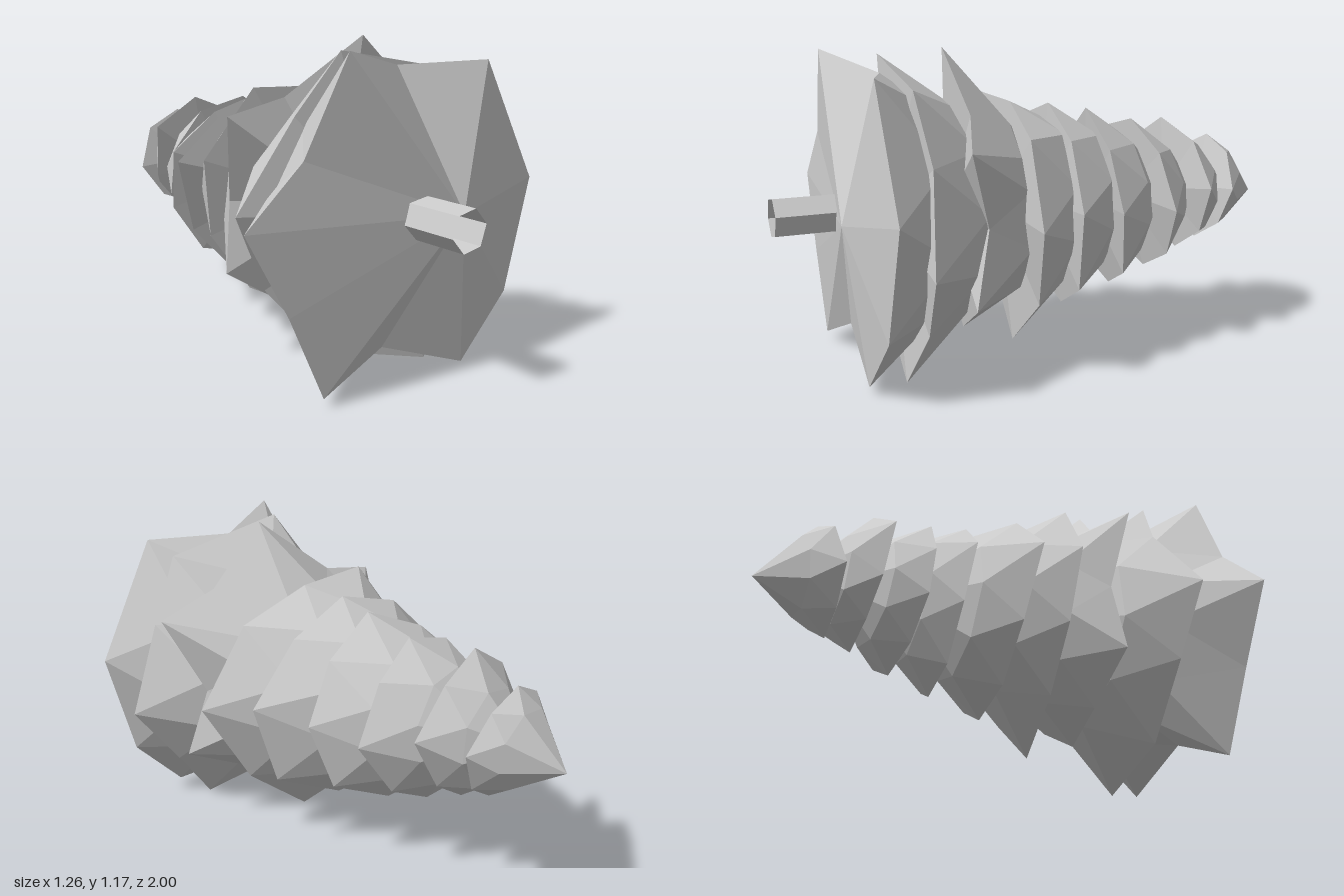
import * as THREE from 'three';

const material = new THREE.MeshStandardMaterial({ color: 0xcccccc, flatShading: true, side: THREE.DoubleSide });
const AXIS = { x: 0.04, y: 0.57 };

// Broad ragged skirt at the base, counter-clockwise seen from the trunk end
const BASE_RIM = [
  [.63, .65, .72], [.39, 1.09, .72], [.07, 1.08, .61], [-.25, 1.15, .75], [-.41, .82, .73], [-.63, .62, .73],
  [-.47, .33, .74], [-.33, .03, .74], [-.06, .14, .71], [.29, .02, .74], [.51, .24, .73],
];

// Smaller tiers up to the tip: z of the rim, lean along x and y, tip radii and angles in degrees
// (tips without angles are evenly spaced, starting at turn)
const TIERS = [
  { z: 0.55, leanX: 0.06, leanY: 0, radii: [.57, .51, .58, .59, .47, .57, .49, .52, .61, .52],
    angles: [-12, 27, 55, 107, 132, 175, 207, 247, 290, 317] },
  { z: 0.33, leanX: 0.15, leanY: 0, radii: [.39, .58, .49, .6, .43, .56, .4, .49, .42, .45, .52],
    angles: [0, 29, 51, 84, 117, 143, 176, 207, 243, 278, 329] },
  { z: 0.13, leanX: 0.08, leanY: 0.06, turn: 0, radii: [.53, .45, .4, .47, .45, .4, .42, .52, .47] },
  { z: -0.05, leanX: 0.1, leanY: 0.06, turn: 4, radii: [.45, .38, .38, .38, .45, .38, .38, .4, .45] },
  { z: -0.25, leanX: 0.15, leanY: 0.15, turn: 0, radii: [.37, .34, .36, .31, .35, .33, .35, .35, .38] },
  { z: -0.42, leanX: -0.05, leanY: 0.13, turn: -2, radii: [.36, .31, .31, .29, .27, .27, .28, .3, .31] },
  { z: -0.6, leanX: -0.08, leanY: 0, turn: 9, radii: [.3, .26, .29, .3, .23, .21, .24, .24] },
  { z: -0.75, leanX: -0.04, leanY: -0.17, turn: 5, radii: [.22, .2, .21, .22, .23, .2, .21, .2] },
];

// Rim of a smaller tier: longer branch tips droop further toward the trunk end
function tierRim({ z, leanX, leanY, turn, radii, angles }) {
  const mean = radii.reduce((sum, r) => sum + r, 0) / radii.length;
  return radii.map((r, i) => {
    const angle = THREE.MathUtils.degToRad(angles ? angles[i] : turn + (i * 360) / radii.length);
    const dx = r * Math.cos(angle);
    const dy = r * Math.sin(angle);
    return new THREE.Vector3(AXIS.x + dx, AXIS.y + dy, z + 0.45 * (r - mean) + leanX * dx + leanY * dy);
  });
}

// One tier: underside fan, faceted skirt up to a smaller shoulder ring, then a point
function tierGeometry(rim, hub, tip) {
  const n = rim.length;
  const z = rim.reduce((sum, p) => sum + p.z, 0) / n;
  const centre = new THREE.Vector3(AXIS.x, AXIS.y, z);
  const radius = rim.reduce((sum, p) => sum + Math.hypot(p.x - AXIS.x, p.y - AXIS.y), 0) / n;
  const under = hub || new THREE.Vector3(AXIS.x, AXIS.y, z + 0.03);
  const apex = tip || new THREE.Vector3(AXIS.x, AXIS.y, z - radius * 0.95);

  // Shoulder corners sit between neighbouring branch tips and follow their height
  const shoulder = rim.map((p, i) => {
    const q = p.clone().add(rim[(i + 1) % n]).multiplyScalar(0.5);
    const height = (q.z + z) / 2 - radius * 0.42;
    return q.sub(centre).setZ(0).setLength(radius * 0.7).add(centre).setZ(height);
  });

  const corners = [];
  for (let i = 0; i < n; i++) {
    const j = (i + 1) % n;
    corners.push(under, rim[i], rim[j]);
    corners.push(rim[j], rim[i], shoulder[i]);
    corners.push(rim[j], shoulder[i], shoulder[j]);
    corners.push(shoulder[j], shoulder[i], apex);
  }
  const geometry = new THREE.BufferGeometry().setFromPoints(corners);
  geometry.computeVertexNormals();
  return geometry;
}

export function createModel() {
  const tree = new THREE.Group();
  tree.name = 'lyingFirTree';

  const add = (name, geometry) => {
    const mesh = new THREE.Mesh(geometry, material);
    mesh.name = name;
    tree.add(mesh);
    return mesh;
  };

  // Base skirt with an off-centre bulging underside
  const baseRim = BASE_RIM.map((p) => new THREE.Vector3(...p));
  add('baseTier', tierGeometry(baseRim, new THREE.Vector3(0.22, 0.58, 0.8)));

  // Smaller tiers, the last one ending in the treetop
  TIERS.forEach((tier, i) => {
    const tip = i === TIERS.length - 1 ? new THREE.Vector3(0.03, 0.53, -1) : null;
    add(`branchTier${i + 1}`, tierGeometry(tierRim(tier), null, tip));
  });

  // Open six-sided trunk
  const trunkGeometry = new THREE.CylinderGeometry(0.075, 0.075, 0.35, 6, 1, true);
  trunkGeometry.rotateY(-Math.PI / 10).rotateX(Math.PI / 2);
  add('trunk', trunkGeometry).position.set(AXIS.x, 0.59, 0.825);

  return tree;
}
